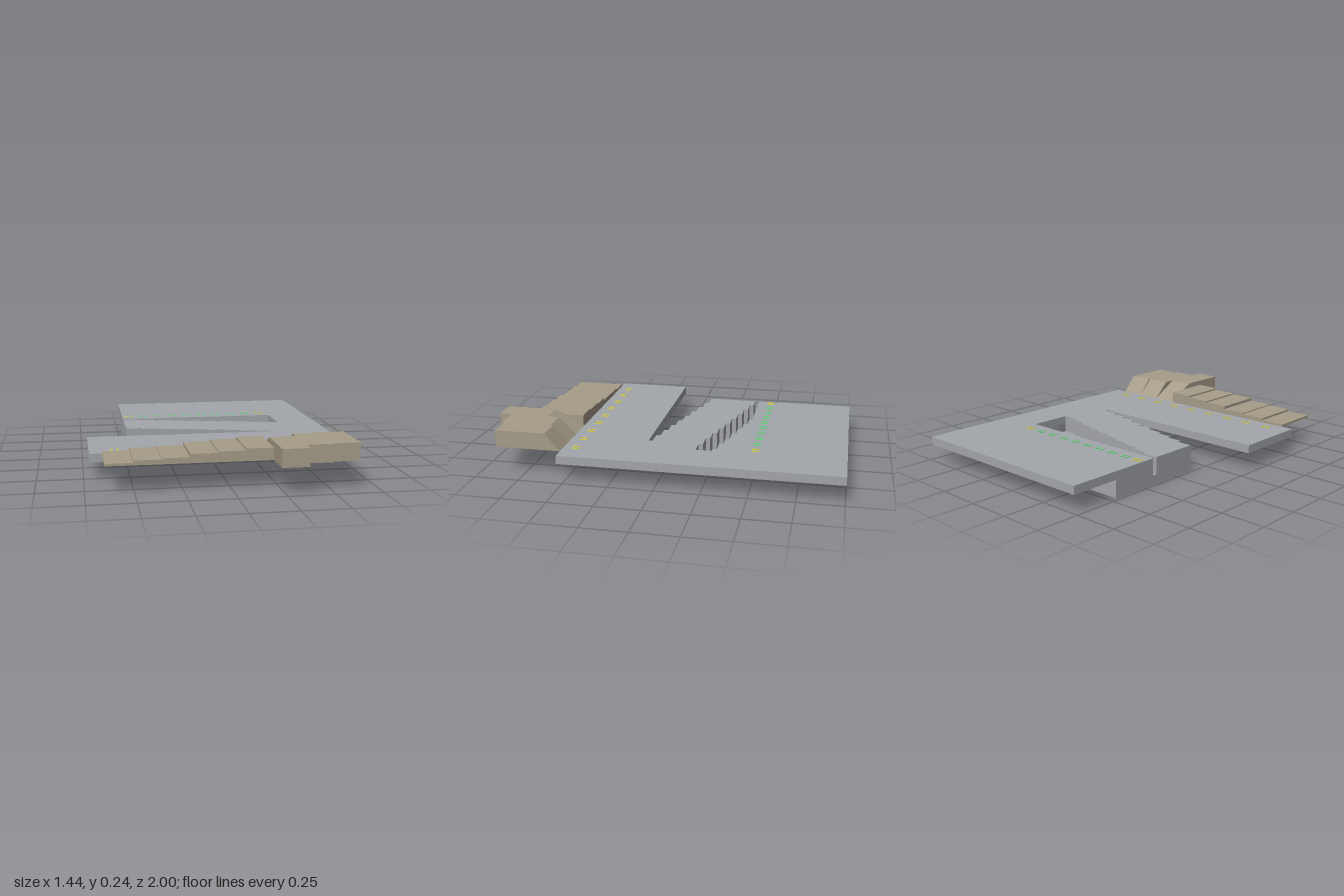
import * as THREE from 'three';

const mat = (name, color) => {
  const m = new THREE.MeshStandardMaterial({ color });
  m.name = name;
  return m;
};

export function createModel() {
  const grey = mat('grey', 0xa3a6aa);
  const tan = mat('tan', 0xa69c89);
  const yellow = mat('yellow', 0xd6cf3c);
  const green = mat('green', 0x62d67c);
  const model = new THREE.Group();

  const add = (name, geo, material) => {
    const mesh = new THREE.Mesh(geo, material);
    mesh.name = name;
    model.add(mesh);
    return mesh;
  };

  // Flat slab from an outline of [x, z] points, between heights y0 and y1
  const slab = (name, pts, y0, y1) => {
    const shape = new THREE.Shape(pts.map(([x, z]) => new THREE.Vector2(x, -z)));
    const geo = new THREE.ExtrudeGeometry(shape, { depth: y1 - y0, bevelEnabled: false });
    geo.rotateX(-Math.PI / 2).translate(0, y0, 0);
    return add(name, geo, grey);
  };

  // Staircase edge running left to right, n treads from depth z0
  const stairs = (z0, n) => {
    const pts = [];
    for (let i = 0; i < n; i++) {
      const z = z0 + i * 0.0243;
      pts.push([-0.48 + i * 0.096, z], [-0.48 + (i + 1) * 0.096, z]);
    }
    return pts;
  };

  // Main plate with the stepped slot and the stepped pocket
  slab('plate', [
    [-0.48, -1], [0.72, -1], [0.72, 0.54], [-0.72, 0.54], [-0.72, 0.105], [0.384, 0.105],
    ...stairs(-0.112, 9).reverse(),
    ...stairs(-0.4, 10),
    [0.48, -0.425], [-0.48, -0.425],
  ], 0.1, 0.147);

  // Block below the plate: base, rear wall and stepped front wall around a channel
  slab('blockBase', [[-0.48, -0.71], [0.48, -0.71], ...stairs(-0.112, 10).reverse()], 0, 0.05);
  slab('blockRear', [[-0.48, -0.71], [0.48, -0.71], [0.48, -0.425], [-0.48, -0.425]], 0.05, 0.1);
  slab('blockFront', [...stairs(-0.4, 10), ...stairs(-0.112, 10).reverse()], 0.05, 0.1);

  // Gauge steps along the front: [top height, ramp depth, front z]
  const steps = [
    [0.16, 0, 0.83], [0.172, 0, 0.83], [0.178, 0, 0.83],
    [0.195, 0, 0.83], [0.203, 0, 0.83], [0.213, 0, 0.83],
    [0.243, 0.17, 1], [0.243, 0.1, 0.925], [0.243, 0.085, 0.91],
  ];
  const w = 1.3 / steps.length;
  steps.forEach(([top, ramp, front], i) => {
    // Side profile in (-z, y), extruded across x
    const profile = new THREE.Shape([
      new THREE.Vector2(-front, 0.147), new THREE.Vector2(-0.54, 0.147),
      new THREE.Vector2(-0.54 - ramp, top), new THREE.Vector2(-front, top),
    ]);
    const geo = new THREE.ExtrudeGeometry(profile, { depth: w, bevelEnabled: false });
    geo.rotateY(Math.PI / 2).translate(-0.65 + i * w, 0, 0);
    add('gaugeStep' + (i + 1), geo, tan);
  });

  // Painted scale marks: a pair of short dashes at each position
  const marks = (name, xs, z, material) => {
    for (const x of xs) for (const s of [-1, 1]) {
      const geo = new THREE.BoxGeometry(0.011, 0.003, 0.042);
      geo.translate(x + s * 0.016, 0.148, z);
      add(name, geo, material);
    }
  };
  marks('frontMark', steps.map((_, i) => -0.58 + i * 0.1445), 0.47, yellow);
  marks('rearEndMark', [-0.44, 0.43], -0.505, yellow);
  marks('rearMark', Array.from({ length: 8 }, (_, i) => -0.35 + i * 0.0975), -0.505, green);

  return model;
}
